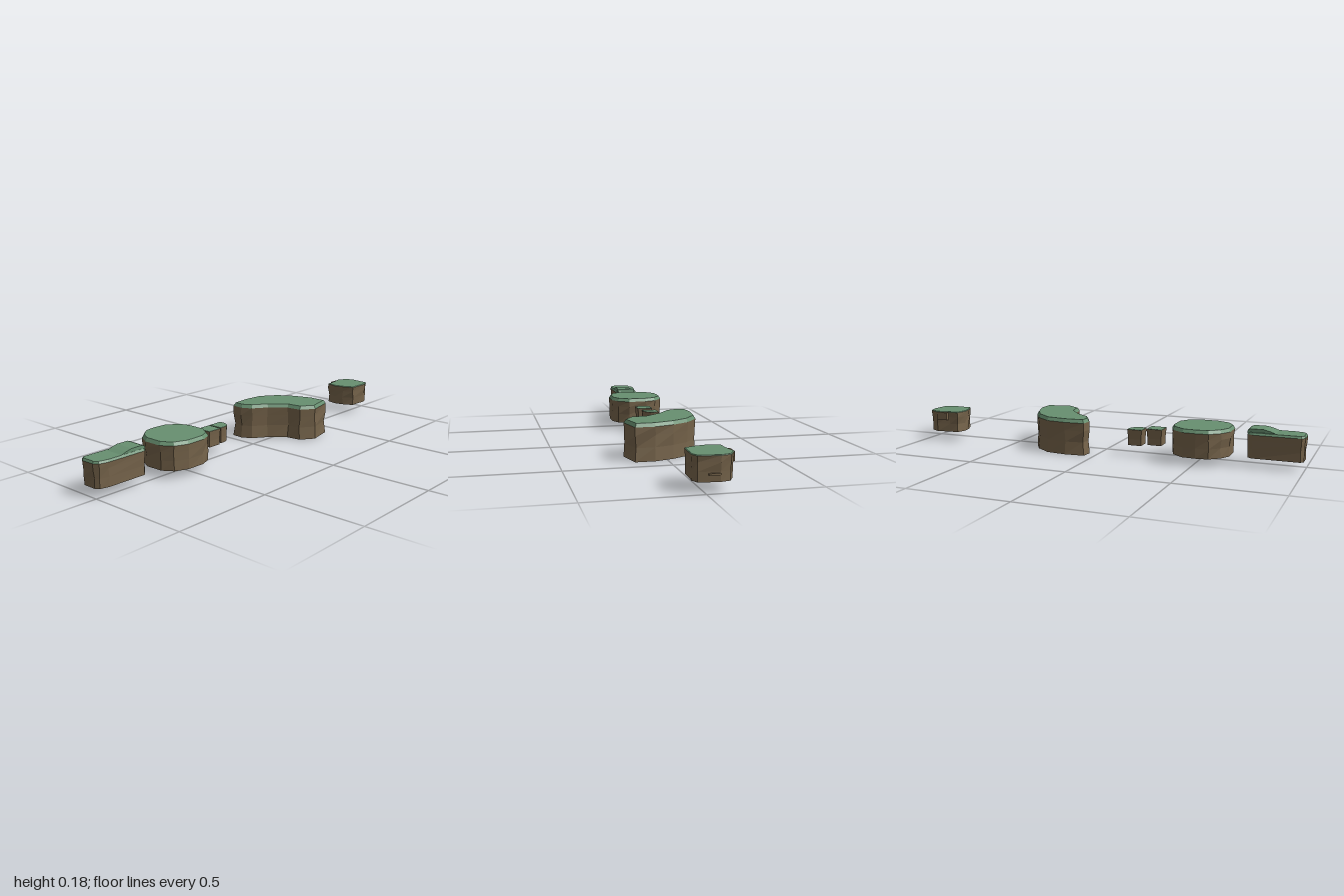
import * as THREE from 'three';

const rock = new THREE.MeshStandardMaterial({ color: 0x75634a, flatShading: true });
const grass = new THREE.MeshStandardMaterial({ color: 0x678f70, flatShading: true });

// Move an outline ([x, z], clockwise from above) inward by d
function inset(outline, d) {
  const n = outline.length;
  const normal = (a, b) => new THREE.Vector2(b[1] - a[1], a[0] - b[0]).normalize();
  return outline.map((p, i) => {
    const n1 = normal(outline[(i + n - 1) % n], p);
    const n2 = normal(p, outline[(i + 1) % n]);
    const m = n1.clone().add(n2).normalize();
    const k = d / Math.max(0.6, m.dot(n1));
    return [p[0] - m.x * k, p[1] - m.y * k];
  });
}

// Loft an outline through levels [y, inset, roughness], with optional caps
function loft(name, material, outline, levels, capBottom, capTop) {
  const rings = levels.map(([y, d, rough = 0], r) =>
    inset(outline, d).map(([x, z], i) => {
      const w = rough * Math.sin(i * 2.7 + r * 1.9);
      return new THREE.Vector3(x + w, y, z + w * 0.6);
    }));
  const pos = [];
  const tri = (...v) => v.forEach((p) => pos.push(p.x, p.y, p.z));
  for (let r = 0; r + 1 < rings.length; r++) {
    const lo = rings[r], hi = rings[r + 1];
    lo.forEach((a, i) => {
      const j = (i + 1) % lo.length;
      tri(lo[j], a, hi[i]);
      tri(lo[j], hi[i], hi[j]);
    });
  }
  const cap = (ring, up) => {
    const flat = ring.map((p) => new THREE.Vector2(p.x, p.z));
    for (const [i, j, k] of THREE.ShapeUtils.triangulateShape(flat, [])) {
      const [a, b, c] = [ring[i], ring[j], ring[k]];
      const facesUp = (b.z - a.z) * (c.x - a.x) - (b.x - a.x) * (c.z - a.z) > 0;
      if (facesUp === up) tri(a, b, c); else tri(a, c, b);
    }
  };
  if (capBottom) cap(rings[0], false);
  if (capTop) cap(rings[rings.length - 1], true);
  const geo = new THREE.BufferGeometry();
  geo.setAttribute('position', new THREE.Float32BufferAttribute(pos, 3));
  geo.computeVertexNormals();
  const mesh = new THREE.Mesh(geo, material);
  mesh.name = name;
  return mesh;
}

// Floating island: rough rock body with a bevelled grass cap
function island(name, outline, y0, y1, rim, { bevel = 0.01, splay = 0, rough = 0.003 } = {}) {
  const g = new THREE.Group();
  g.name = name;
  const h = y1 - rim - y0;
  g.add(loft('rockBody', rock, outline, [
    [y0, 0.004 - splay], [y0 + h * 0.4, 0.004, rough], [y0 + h * 0.75, 0.002, rough], [y1 - rim, 0],
  ], true, false));
  g.add(loft('grassTop', grass, outline, [[y1 - rim, 0], [y1, bevel]], false, true));
  return g;
}

function box(name, w, h, d, x, y, z) {
  const m = new THREE.Mesh(new THREE.BoxGeometry(w, h, d), rock);
  m.position.set(x, y, z);
  m.name = name;
  return m;
}

export function createModel() {
  const model = new THREE.Group();
  model.name = 'floatingIslands';

  // Long island with a grassy mound on one end
  const long = island('longIsland', [
    [-0.985, -0.1], [-0.76, -0.1], [-0.735, -0.08], [-0.73, 0.01], [-0.745, 0.022],
    [-0.94, 0.022], [-0.985, 0.012], [-1, -0.01], [-1, -0.08],
  ], 0.042, 0.163, 0.01, { bevel: 0.006, rough: 0.002 });
  const hump = new THREE.Shape([
    [-0.88, 0.158], [-0.735, 0.158], [-0.737, 0.174], [-0.75, 0.179], [-0.81, 0.179], [-0.84, 0.172],
  ].map((p) => new THREE.Vector2(...p)));
  const mound = new THREE.Mesh(
    new THREE.ExtrudeGeometry(hump, { depth: 0.098, bevelEnabled: false }), grass);
  mound.position.z = -0.083;
  mound.name = 'grassMound';
  long.add(mound);
  model.add(long);

  // Broad rounded island
  model.add(island('roundIsland', [
    [-0.626, -0.13], [-0.575, -0.172], [-0.515, -0.18], [-0.45, -0.175], [-0.39, -0.13], [-0.37, -0.075],
    [-0.37, 0.02], [-0.405, 0.078], [-0.46, 0.102], [-0.555, 0.102], [-0.62, 0.075], [-0.655, 0.02],
    [-0.655, -0.075],
  ], 0.036, 0.171, 0.016));

  // Two stepping blocks: a cube and one with a rounded corner
  const sharp = { bevel: 0.001, rough: 0 };
  model.add(island('cubeStep', [
    [-0.318, -0.078], [-0.24, -0.078], [-0.24, 0], [-0.318, 0],
  ], 0.057, 0.138, 0.001, sharp));
  const quarter = [[-0.22, -0.093], [-0.145, -0.093]];
  for (let i = 0; i <= 4; i++) {
    const a = (i / 4) * Math.PI / 2;
    quarter.push([-0.19 + 0.045 * Math.cos(a), -0.068 + 0.05 * Math.sin(a)]);
  }
  quarter.push([-0.22, -0.018]);
  model.add(island('roundedStep', quarter, 0.052, 0.132, 0.001, sharp));

  // Tall crescent island
  model.add(island('crescentIsland', [
    [0.05, -0.18], [0.15, -0.188], [0.25, -0.175], [0.33, -0.115], [0.378, -0.035], [0.41, 0.06],
    [0.41, 0.155], [0.28, 0.183], [0.213, 0.135], [0.205, 0.06], [0.14, -0.02], [0.07, -0.07], [0.045, -0.12],
  ], 0, 0.178, 0.017, { splay: 0.005, rough: 0.004 }));

  // Small far island with a rock ledge at the back
  const small = island('smallIsland', [
    [0.815, -0.118], [0.865, -0.12], [0.935, -0.132], [0.985, -0.105], [0.997, -0.06], [0.985, 0.035],
    [0.95, 0.05], [0.835, 0.045], [0.81, -0.01], [0.8, -0.06],
  ], 0.045, 0.154, 0.003, { bevel: 0.003 });
  small.add(box('rockLedge', 0.06, 0.04, 0.03, 0.9, 0.13, -0.122));
  small.add(box('sideChip', 0.01, 0.008, 0.05, 0.992, 0.077, -0.035));
  model.add(small);

  return model;
}
